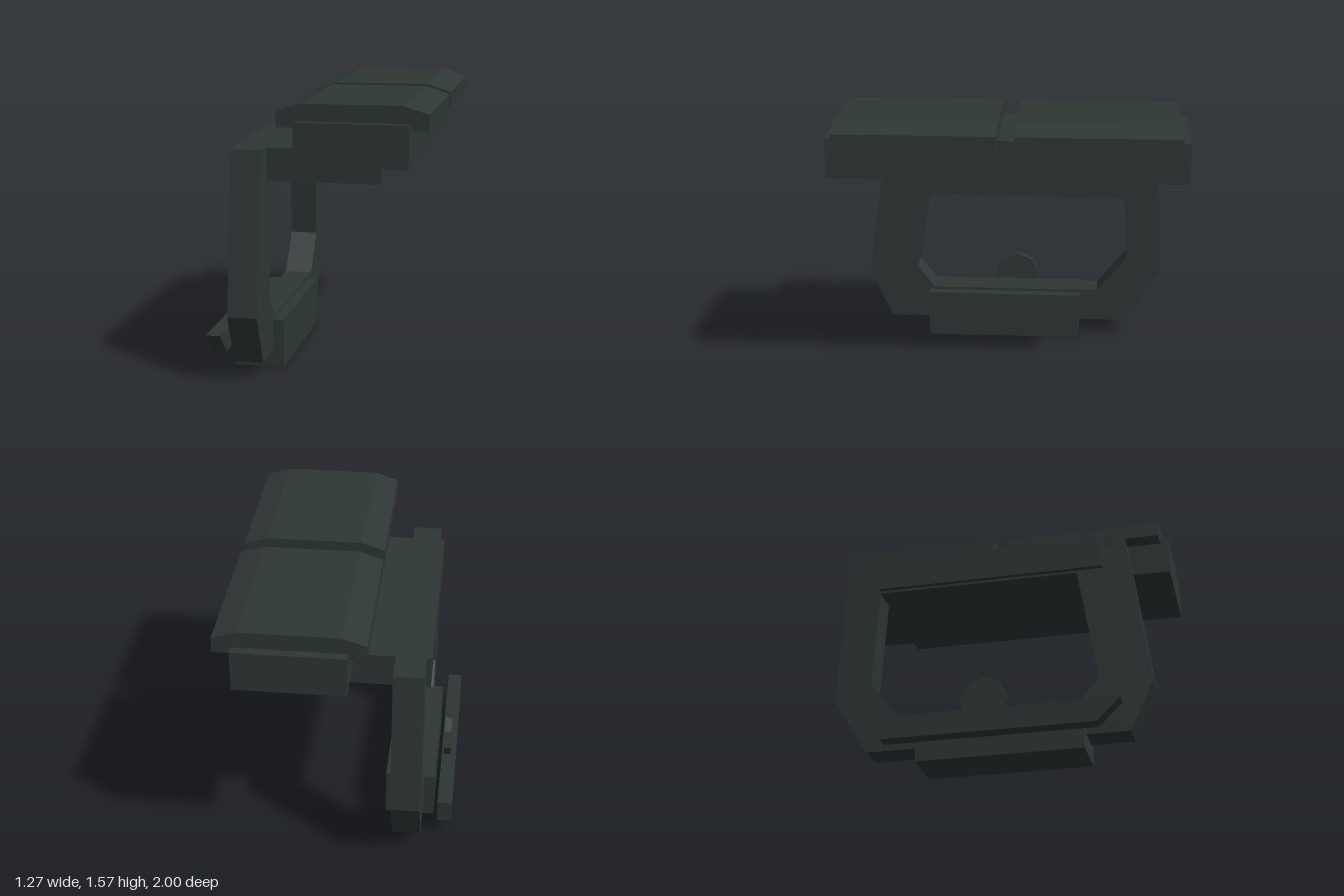
import * as THREE from 'three';

export function createModel() {
  const model = new THREE.Group();
  model.name = 'railMount';
  const darkMetal = new THREE.MeshStandardMaterial({ color: 0x2e3735, flatShading: true });
  darkMetal.name = 'darkMetal';

  const add = (name, geometry) => {
    const mesh = new THREE.Mesh(geometry, darkMetal);
    mesh.name = name;
    model.add(mesh);
    return mesh;
  };

  // Box given by its limits on each axis
  const block = (name, [x0, x1], [y0, y1], [z0, z1]) =>
    add(name, new THREE.BoxGeometry(x1 - x0, y1 - y0, z1 - z0)
      .translate((x0 + x1) / 2, (y0 + y1) / 2, (z0 + z1) / 2));

  const points = (list) => list.map(([a, b]) => new THREE.Vector2(a, b));
  const extrude = (outline, depth, hole) => {
    const shape = new THREE.Shape(points(outline));
    if (hole) shape.holes.push(new THREE.Path(points(hole)));
    return new THREE.ExtrudeGeometry(shape, { depth, bevelEnabled: false });
  };

  // Side profile in (z, y), extruded from x0 to x1
  const sidePlate = (name, [x0, x1], outline, hole) =>
    add(name, extrude(outline, x1 - x0, hole).rotateY(-Math.PI / 2).translate(x1, 0, 0));

  // Open frame with a slightly lopsided outline
  sidePlate('frame', [-0.465, -0.3],
    [[0.78, 0.1], [0.912, 0.39], [0.785, 1.295], [-0.857, 1.295], [-0.9, 0.43], [-0.7, 0.1]],
    [[0.505, 0.295], [0.615, 0.43], [0.505, 1.09], [-0.655, 1.09], [-0.69, 0.515], [-0.51, 0.295]]);

  // Arm, upper rail and lower clamp
  block('arm', [-0.492, 0.338], [1.105, 1.29], [-0.66, 0.657]);
  block('upperRail', [-0.075, 0.533], [1.25, 1.48], [-1, 1]);
  block('clampBlock', [-0.525, -0.238], [0, 0.28], [-0.4, 0.537]);

  // Two bevelled pads on the rail
  const padProfile = [[-0.175, 1.445], [0.633, 1.445], [0.633, 1.53], [0.5, 1.573], [-0.045, 1.573], [-0.175, 1.53]];
  for (const [name, z] of [['frontPad', 0.05], ['backPad', -0.95]]) {
    add(name, extrude(padProfile, 0.9).translate(0, 0, z));
  }

  // Lever bar with a slanted front end, and its eight-sided knob
  sidePlate('leverBar', [-0.637, -0.553], [[-0.57, 0.1], [0.62, 0.1], [0.75, 0.23], [-0.57, 0.23]]);
  add('leverKnob', new THREE.CylinderGeometry(0.132, 0.132, 0.042, 8)
    .rotateZ(Math.PI / 2).translate(-0.584, 0.298, 0));

  return model;
}
